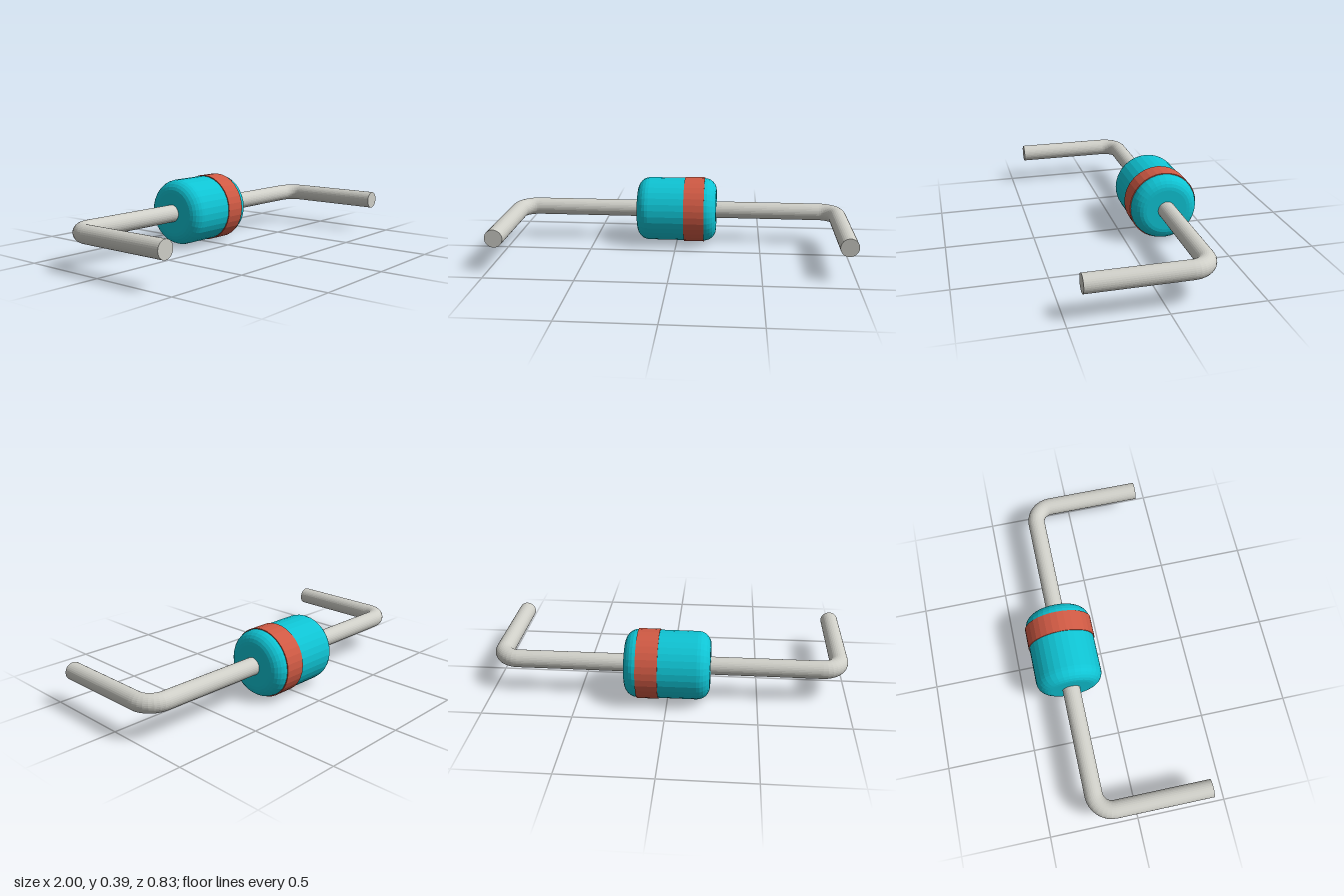
import * as THREE from 'three';

const Y = 0.195, Z = -0.222;        // body axis
const WIRE = 0.05, BEND = 0.1;      // wire radius, bend centreline radius
const LEG_X = 0.95, FRONT_Z = 0.417;
const SIDES = 32;

const material = (color) => new THREE.MeshStandardMaterial({ color, flatShading: true });

export function createModel() {
  const model = new THREE.Group();
  const teal = material(0x0fc4d4), red = material(0xd05a44), metal = material(0xcfcfc8);

  const add = (name, geometry, mat, x, y, z) => {
    const mesh = new THREE.Mesh(geometry, mat);
    mesh.name = name;
    mesh.position.set(x, y, z);
    model.add(mesh);
  };

  // Body: rounded cylinder turned about the x axis
  const half = 0.237, radius = 0.19, fillet = 0.072, steps = 6;
  const profile = [new THREE.Vector2(0, -half)];
  for (const end of [-1, 1]) {
    for (let i = 0; i <= steps; i++) {
      const a = (end < 0 ? i - steps : i) / steps * Math.PI / 2;
      profile.push(new THREE.Vector2(
        radius - fillet + fillet * Math.cos(a),
        end * (half - fillet) + fillet * Math.sin(a)));
    }
  }
  profile.push(new THREE.Vector2(0, half));
  add('body', new THREE.LatheGeometry(profile, SIDES).rotateZ(-Math.PI / 2), teal, 0, Y, Z);

  // Polarity band
  add('band', new THREE.CylinderGeometry(0.195, 0.195, 0.12, SIDES).rotateZ(-Math.PI / 2),
    red, 0.106, Y, Z);

  // Wire running through the body
  const bendX = LEG_X - BEND, bendZ = Z + BEND;
  add('axialWire', new THREE.CylinderGeometry(WIRE, WIRE, 2 * bendX, SIDES).rotateZ(-Math.PI / 2),
    metal, 0, Y, Z);

  // Bent leads, one per side
  const legLength = FRONT_Z - bendZ;
  for (const [side, s] of [['left', 1], ['right', -1]]) {
    const bend = new THREE.TorusGeometry(BEND, WIRE, SIDES, 8, Math.PI / 2).rotateX(-Math.PI / 2);
    if (s < 0) bend.rotateY(Math.PI / 2);
    add(side + 'Bend', bend, metal, s * bendX, Y, bendZ);
    add(side + 'Leg', new THREE.CylinderGeometry(WIRE, WIRE, legLength, SIDES).rotateX(Math.PI / 2),
      metal, s * LEG_X, Y, bendZ + legLength / 2);
  }
  return model;
}
